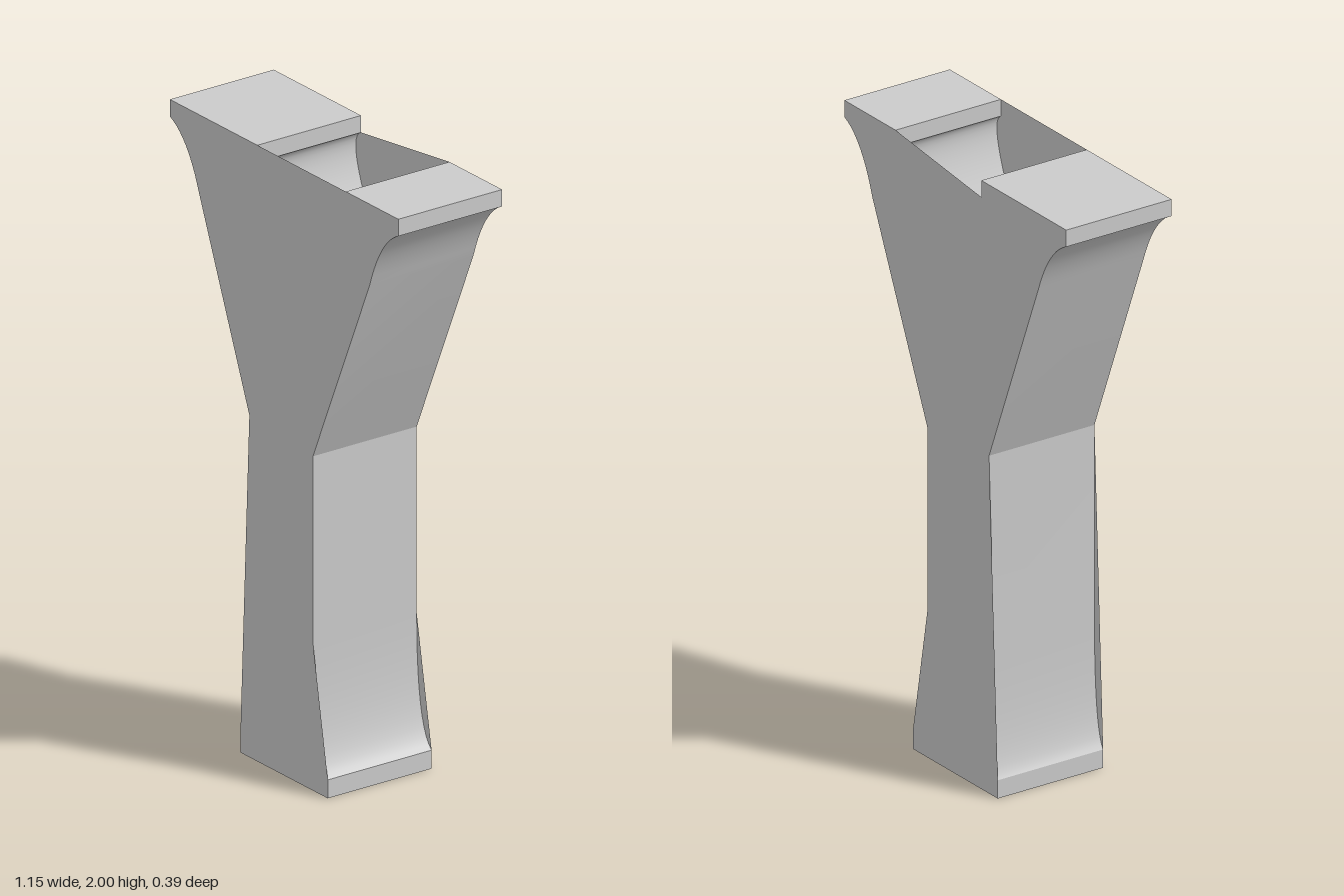
import * as THREE from 'three';
import { toCreasedNormals } from 'three/addons/utils/BufferGeometryUtils.js';

const HALF = 0.193; // half depth
const material = new THREE.MeshStandardMaterial({ color: 0xcccccc, side: THREE.DoubleSide });

// Points of a rounded bracket from a to b, pulled towards c (end points included)
function bracket(a, c, b) {
  const v = ([x, y]) => new THREE.Vector2(x, y);
  return new THREE.QuadraticBezierCurve(v(a), v(c), v(b)).getPoints(10).map((p) => [p.x, p.y]);
}

// Curved undersides of the two outer ends of the top
const outerRight = bracket([0.43, 1.735], [0.485, 1.905], [0.575, 1.945]);
const outerLeft = bracket([-0.575, 1.945], [-0.485, 1.905], [-0.43, 1.75]);

// Full outline, counter-clockwise seen from the front
const outline = [
  [-0.22, 0], [0.22, 0],
  ...bracket([0.22, 0.06], [0.145, 0.12], [0.145, 0.48]),
  [0.145, 1.085],
  ...outerRight,
  [0.575, 2], [0.31, 2],
  ...bracket([0.31, 1.945], [0.36, 1.92], [0.29, 1.75]),
  [0.08, 1.27],
  ...bracket([-0.12, 1.75], [-0.195, 1.92], [-0.135, 1.945]),
  [-0.135, 2], [-0.575, 2],
  ...outerLeft,
  [-0.175, 1.11],
  ...bracket([-0.175, 0.48], [-0.175, 0.12], [-0.22, 0.06]),
];

// Band of walls running from front to back along the outline
function wallGeometry(points) {
  const pos = [];
  points.forEach((a, i) => {
    const b = points[(i + 1) % points.length];
    const [af, ab, bb, bf] = [[...a, HALF], [...a, -HALF], [...b, -HALF], [...b, HALF]];
    pos.push(...af, ...ab, ...bb, ...af, ...bb, ...bf);
  });
  const g = new THREE.BufferGeometry();
  g.setAttribute('position', new THREE.Float32BufferAttribute(pos, 3));
  return toCreasedNormals(g, 0.35);
}

// Flat face with straight lower edges; notch points change its top edge
function faceGeometry(notch, back) {
  const points = [
    [-0.22, 0], [0.22, 0], [0.22, 0.06], [0.145, 0.48], [0.145, 1.085],
    ...outerRight, [0.575, 2], ...notch, [-0.575, 2], ...outerLeft,
    [-0.175, 1.11], [-0.22, 0.06],
  ];
  const sign = back ? -1 : 1;
  const shape = new THREE.Shape(points.map(([x, y]) => new THREE.Vector2(sign * x, y)));
  const g = new THREE.ShapeGeometry(shape).translate(0, 0, HALF);
  return back ? g.rotateY(Math.PI) : g;
}

export function createModel() {
  const group = new THREE.Group();
  group.name = 'forkedColumn';
  const add = (name, geometry) => {
    const mesh = new THREE.Mesh(geometry, material);
    mesh.name = name;
    group.add(mesh);
  };
  add('sideWalls', wallGeometry(outline));
  add('frontFace', faceGeometry([], false));
  // The back face dips towards the notch
  add('backFace', faceGeometry([[0.31, 2], [-0.135, 1.945], [-0.135, 2]], true));
  return group;
}
